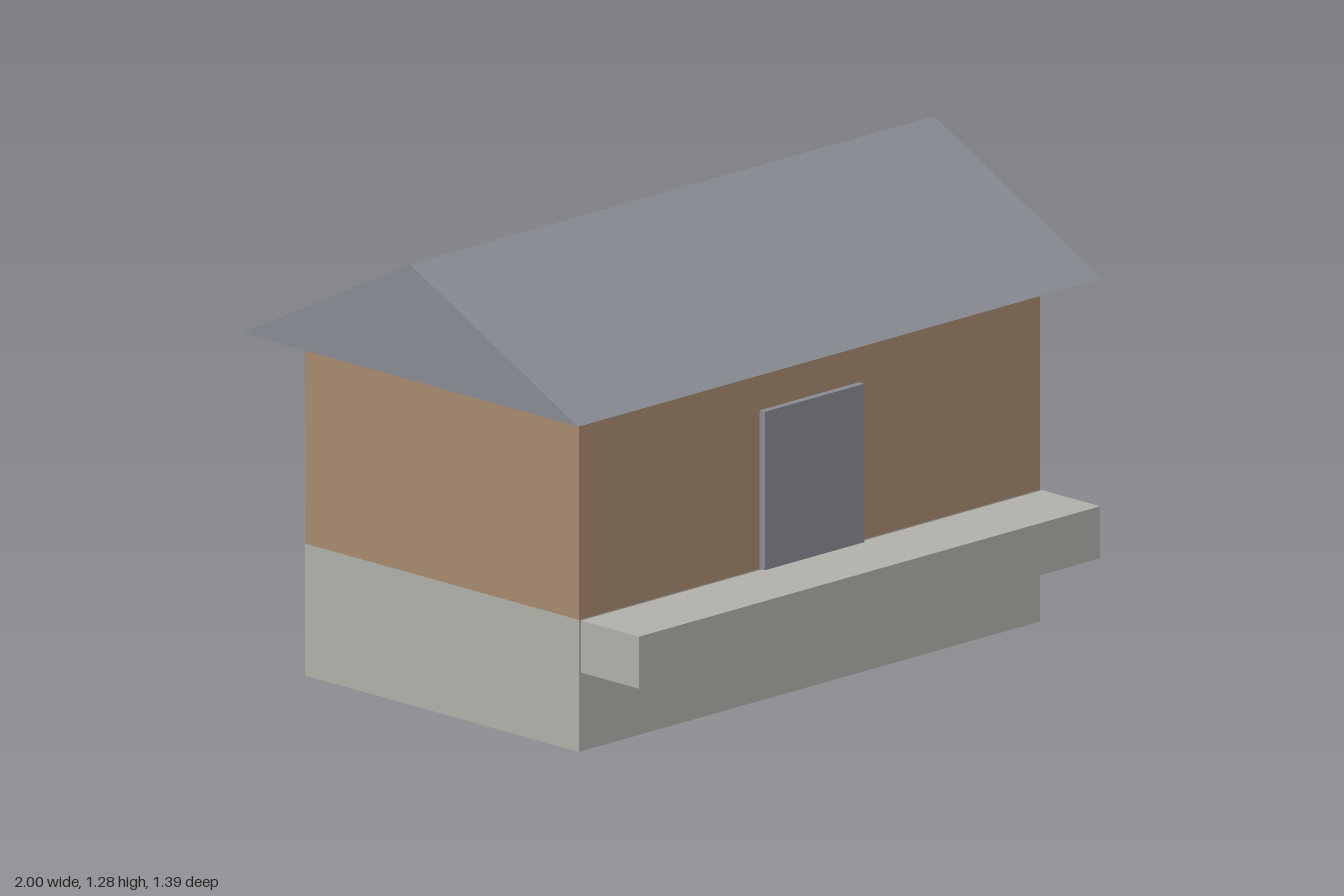
import * as THREE from 'three';

export function createModel() {
  const house = new THREE.Group();
  house.name = 'house';

  const material = (name, color) => {
    const m = new THREE.MeshStandardMaterial({ color });
    m.name = name;
    return m;
  };
  const stone = material('stone', 0xb0afa9);
  const timber = material('timber', 0xa6896d);
  const slate = material('slate', 0x878a92);

  // Box given by its extents along each axis
  const addBox = (name, mat, [x0, x1], [y0, y1], [z0, z1]) => {
    const mesh = new THREE.Mesh(new THREE.BoxGeometry(x1 - x0, y1 - y0, z1 - z0), mat);
    mesh.position.set((x0 + x1) / 2, (y0 + y1) / 2, (z0 + z1) / 2);
    mesh.name = name;
    house.add(mesh);
  };

  const width = [-0.88, 0.88];
  const depth = [-0.572, 0.466];
  addBox('foundation', stone, width, [0, 0.37], depth);
  addBox('walls', timber, width, [0.37, 0.96], depth);
  addBox('porch', stone, width, [0.224, 0.37], [0.474, 0.694]);
  addBox('door', slate, [-0.19, 0.19], [0.37, 0.814], [0.466, 0.486]);

  // Gable roof: triangular section in (-z, y), extruded and turned to run along x
  const gable = new THREE.Shape();
  gable.moveTo(-0.582, 0.96);
  gable.lineTo(0.692, 0.96);
  gable.lineTo(0.055, 1.284);
  gable.closePath();
  const roofGeometry = new THREE.ExtrudeGeometry(gable, { depth: 2, bevelEnabled: false });
  roofGeometry.translate(0, 0, -1);
  roofGeometry.rotateY(Math.PI / 2);
  const roof = new THREE.Mesh(roofGeometry, slate);
  roof.name = 'roof';
  house.add(roof);

  return house;
}
